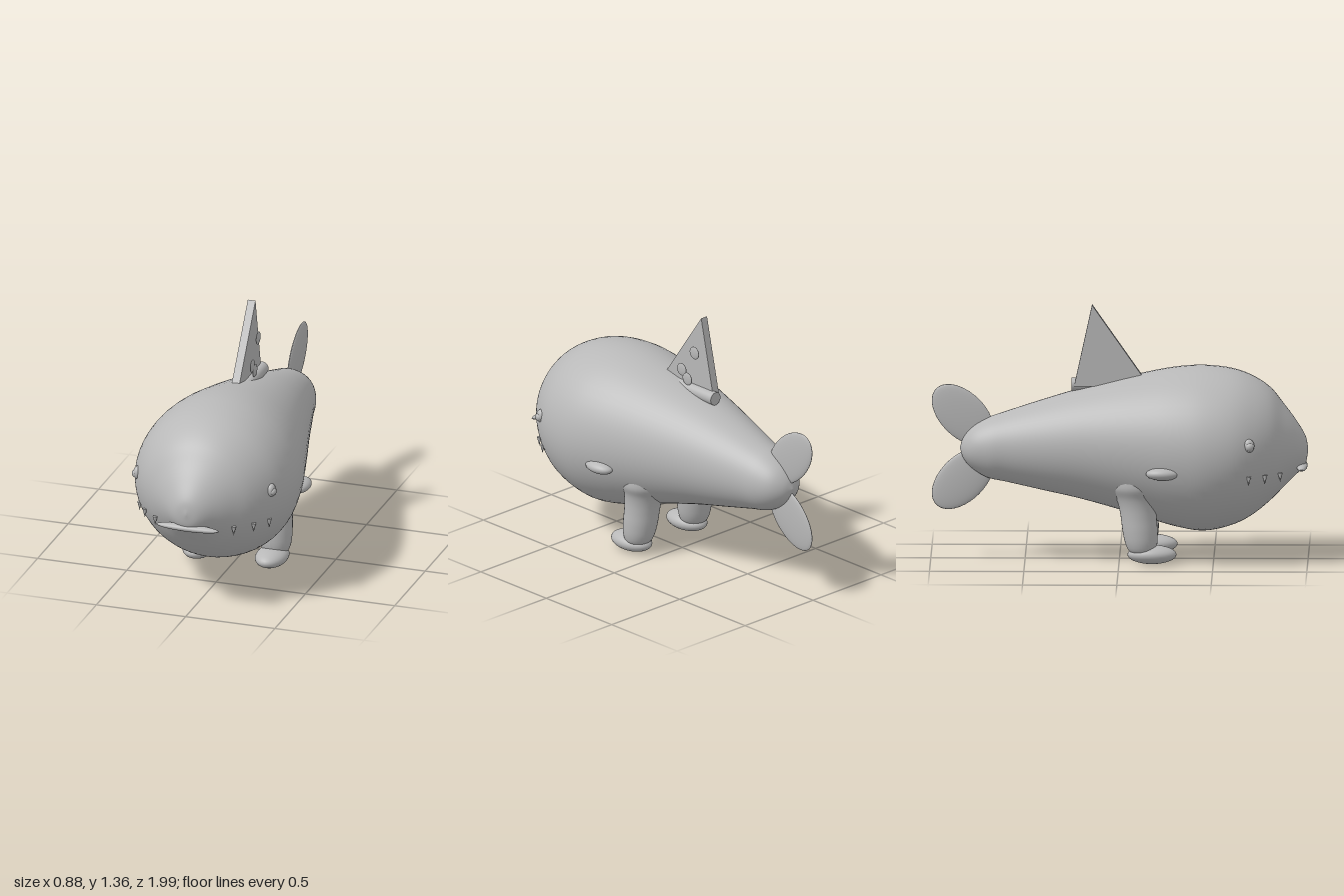
import * as THREE from 'three';

const grey = new THREE.MeshStandardMaterial({ color: 0xb8b8b8 });
grey.name = 'plain grey';

// Body stations from nose to tail: z, top y, bottom y, half width
const STATIONS = [
  [1.0, 0.6, 0.58, 0.005], [0.985, 0.665, 0.51, 0.07], [0.93, 0.755, 0.45, 0.15],
  [0.87, 0.835, 0.39, 0.225], [0.8, 0.92, 0.32, 0.305], [0.7, 0.985, 0.24, 0.378],
  [0.6, 1.02, 0.19, 0.42], [0.45, 1.037, 0.158, 0.438], [0.3, 1.028, 0.18, 0.42],
  [0.1, 0.99, 0.24, 0.37], [-0.2, 0.915, 0.325, 0.285], [-0.4, 0.855, 0.37, 0.23],
  [-0.6, 0.79, 0.415, 0.175], [-0.7, 0.755, 0.437, 0.15], [-0.78, 0.708, 0.485, 0.112],
  [-0.825, 0.655, 0.535, 0.06], [-0.845, 0.6, 0.59, 0.005],
];

function bodyGeometry(rings = 80, sides = 56) {
  const edge = new THREE.CatmullRomCurve3(STATIONS.map(([z, t, b]) => new THREE.Vector3(z, t, b)));
  const width = new THREE.CatmullRomCurve3(STATIONS.map(([z, , , w]) => new THREE.Vector3(z, w, 0)));
  const pos = [], idx = [];
  for (let i = 0; i <= rings; i++) {
    const e = edge.getPoint(i / rings), w = Math.max(width.getPoint(i / rings).y, 0.002);
    const cy = (e.y + e.z) / 2, ry = (e.y - e.z) / 2;
    for (let j = 0; j < sides; j++) {
      const a = (j / sides) * Math.PI * 2;
      pos.push(Math.cos(a) * w, cy + Math.sin(a) * ry, e.x);
    }
  }
  for (let i = 0; i < rings; i++) {
    for (let j = 0; j < sides; j++) {
      const k = (j + 1) % sides, a = i * sides + j, b = i * sides + k;
      const c = a + sides, d = b + sides;
      idx.push(a, c, b, b, c, d);
    }
  }
  // End caps
  const last = rings * sides;
  for (let j = 1; j < sides - 1; j++) {
    idx.push(0, j, j + 1, last, last + j + 1, last + j);
  }
  const g = new THREE.BufferGeometry();
  g.setAttribute('position', new THREE.Float32BufferAttribute(pos, 3));
  g.setIndex(idx);
  g.computeVertexNormals();
  return g;
}

export function createModel() {
  const model = new THREE.Group();
  model.name = 'whaleWithLegs';

  const add = (name, geometry, x = 0, y = 0, z = 0) => {
    const mesh = new THREE.Mesh(geometry, grey);
    mesh.name = name;
    mesh.position.set(x, y, z);
    model.add(mesh);
    return mesh;
  };
  const ellipsoid = (name, x, y, z, rx, ry, rz) =>
    add(name, new THREE.SphereGeometry(1, 32, 20).scale(rx, ry, rz), x, y, z);

  add('body', bodyGeometry());
  ellipsoid('mouth', 0, 0.502, 0.967, 0.175, 0.019, 0.03);

  // Leg profile, flaring into the belly
  const legProfile = new THREE.SplineCurve([
    [0.0, 0.06], [0.06, 0.065], [0.084, 0.11], [0.093, 0.18], [0.095, 0.25],
    [0.1, 0.31], [0.112, 0.36], [0.135, 0.41], [0.135, 0.46],
  ].map(([r, y]) => new THREE.Vector2(r, y))).getPoints(32);

  for (const s of [1, -1]) {
    const side = s > 0 ? 'left' : 'right';
    // Leg leans slightly back and inward toward the top
    const leg = new THREE.LatheGeometry(legProfile, 32);
    const p = leg.attributes.position;
    for (let i = 0; i < p.count; i++) {
      const h = p.getY(i) - 0.1;
      p.setX(i, p.getX(i) - s * h * 0.06);
      p.setZ(i, p.getZ(i) - h * 0.1);
    }
    leg.computeVertexNormals();
    add(side + 'Leg', leg, s * 0.203, 0, 0.12);
    ellipsoid(side + 'Foot', s * 0.203, 0.054, 0.175, 0.086, 0.05, 0.13);
    ellipsoid(side + 'Flipper', s * 0.383, 0.51, 0.235, 0.054, 0.034, 0.09);
    ellipsoid(side + 'Eye', s * 0.373, 0.66, 0.69, 0.024, 0.037, 0.03);
    ellipsoid(side + 'Pupil', s * 0.386, 0.656, 0.695, 0.018, 0.022, 0.022);

    // Downward whisker spikes along the cheek
    [[0.22, 0.855], [0.305, 0.775], [0.363, 0.69]].forEach(([x, z], i) => {
      const spike = add(side + 'Whisker' + (i + 1), new THREE.ConeGeometry(0.013, 0.05, 16), s * x, 0.469, z);
      spike.rotation.x = Math.PI;
    });
  }

  // Tail flukes, one above and one below
  for (const s of [1, -1]) {
    const fluke = ellipsoid(s > 0 ? 'upperFluke' : 'lowerFluke', 0, 0.6 + s * 0.17, -0.83, 0.018, 0.12, 0.2);
    fluke.rotation.x = s * Math.PI / 4;
  }

  // Triangular back fin: shape drawn in (-z, y), turned into the yz plane
  const fin = new THREE.Shape([
    new THREE.Vector2(-0.16, 0.93), new THREE.Vector2(0.24, 0.93), new THREE.Vector2(0.145, 1.365),
  ]);
  const finGeometry = new THREE.ExtrudeGeometry(fin, { depth: 0.043, bevelEnabled: false });
  finGeometry.rotateY(Math.PI / 2).translate(-0.043, 0, 0);
  add('backFin', finGeometry);

  const bar = new THREE.CylinderGeometry(0.036, 0.036, 0.3, 32).rotateX(Math.PI / 2);
  add('finBar', bar, 0, 0.936, -0.105);

  // Round spots beside the fin
  [[1.165, -0.118], [1.042, -0.022], [1.0, -0.064]].forEach(([y, z], i) =>
    ellipsoid('finSpot' + (i + 1), 0.024, y, z, 0.007, 0.035, 0.035));

  return model;
}
